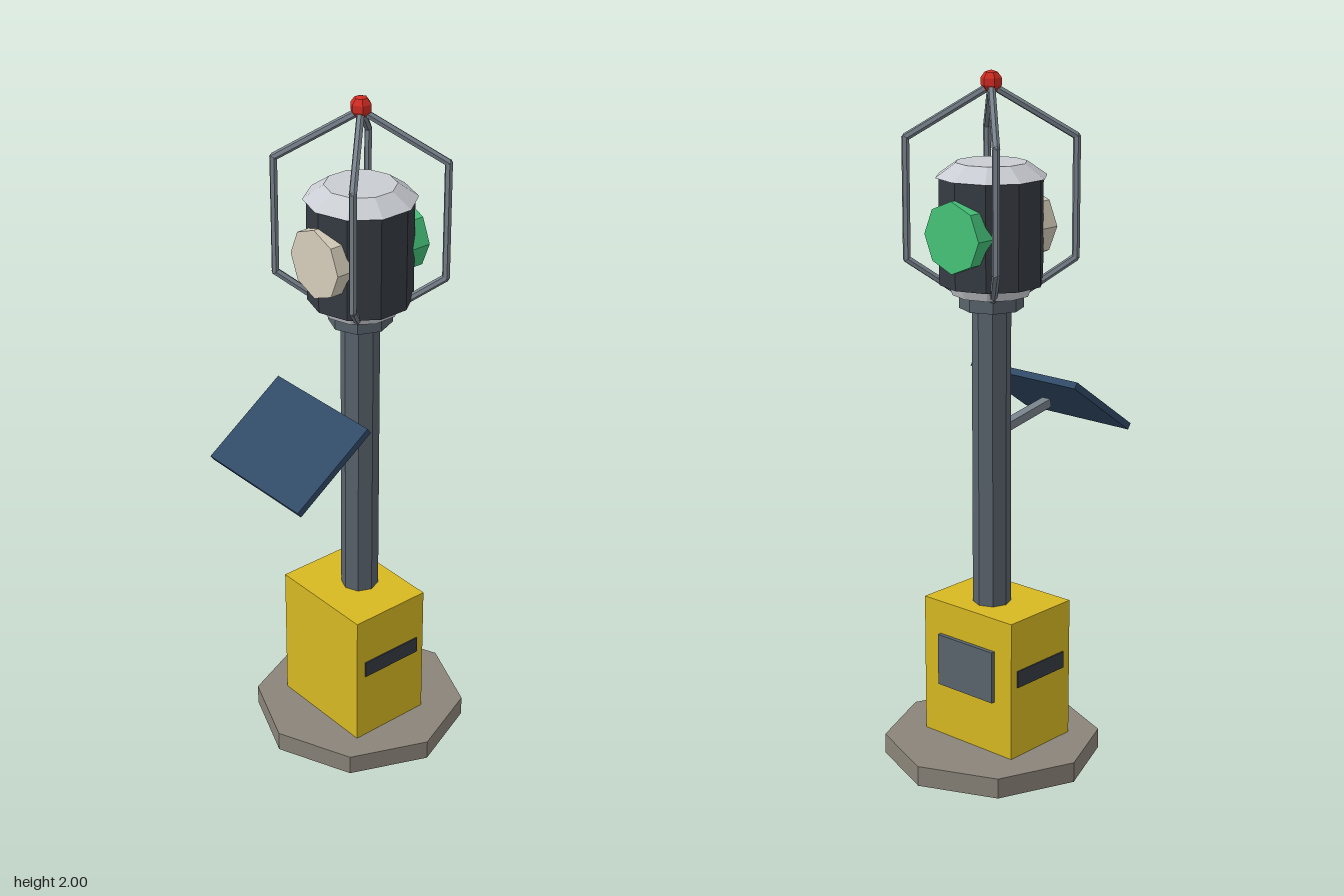
import * as THREE from 'three';

const AXIS_Z = -0.035; // z of the post axis

const mat = (name, color) => {
  const m = new THREE.MeshStandardMaterial({ color, flatShading: true });
  m.name = name;
  return m;
};

export function createModel() {
  const concrete = mat('concrete', 0x8a8479);
  const yellow = mat('yellow paint', 0xd8b922);
  const steel = mat('post steel', 0x59636c);
  const dark = mat('dark housing', 0x363c43);
  const bar = mat('guard steel', 0x77818b);
  const pale = mat('pale metal', 0xc9ccd2);
  const cream = mat('cream lens', 0xd6cebb);
  const green = mat('green lens', 0x46c47a);
  const red = mat('red beacon', 0xd22c22);
  const navy = mat('solar panel blue', 0x304a67);

  const model = new THREE.Group();
  model.name = 'signalPost';
  const add = (name, geometry, material, x, y, z) => {
    const mesh = new THREE.Mesh(geometry, material);
    mesh.name = name;
    mesh.position.set(x, y, z);
    model.add(mesh);
    return mesh;
  };
  // upright prism on the post axis, between two heights
  const prism = (name, rTop, rBottom, y0, y1, sides, material) =>
    add(name, new THREE.CylinderGeometry(rTop, rBottom, y1 - y0, sides), material, 0, (y0 + y1) / 2, AXIS_Z);
  // straight rod between two points
  const rod = (name, a, b, radius, sides, material) => {
    const dir = b.clone().sub(a);
    const mid = a.clone().add(b).multiplyScalar(0.5);
    const mesh = add(name, new THREE.CylinderGeometry(radius, radius, dir.length(), sides), material, mid.x, mid.y, mid.z);
    mesh.quaternion.setFromUnitVectors(new THREE.Vector3(0, 1, 0), dir.normalize());
    return mesh;
  };

  // base slab, cabinet and its details
  prism('baseSlab', 0.315, 0.315, 0, 0.06, 8, concrete);
  add('cabinet', new THREE.BoxGeometry(0.336, 0.415, 0.255), yellow, 0, 0.2675, -0.0125);
  for (const s of [-1, 1])
    add(s > 0 ? 'leftVent' : 'rightVent', new THREE.BoxGeometry(0.008, 0.05, 0.2), dark, s * 0.168, 0.3, -0.015);
  add('rearDoor', new THREE.BoxGeometry(0.21, 0.155, 0.016), steel, 0, 0.298, -0.145);

  // post and collar
  prism('post', 0.055, 0.055, 0.475, 1.36, 8, steel);
  prism('collar', 0.09, 0.09, 1.345, 1.39, 8, steel);

  // solar panel on its arm
  const panel = add('solarPanel', new THREE.BoxGeometry(0.394, 0.02, 0.3), navy, 0, 1.042, 0.221);
  panel.rotation.x = THREE.MathUtils.degToRad(35);
  const arm = add('panelArm', new THREE.BoxGeometry(0.03, 0.025, 0.22), bar, 0, 1.002, 0.097);
  arm.rotation.x = -0.18;

  // lantern
  prism('lanternFoot', 0.122, 0.11, 1.385, 1.416, 10, pale);
  prism('lanternBody', 0.147, 0.147, 1.415, 1.712, 10, dark);
  prism('lanternRoof', 0.1, 0.157, 1.712, 1.752, 10, pale);
  for (const [name, s, material] of [['frontLens', 1, cream], ['rearLens', -1, green]]) {
    const lens = add(name, new THREE.CylinderGeometry(0.1, 0.1, 0.1, 8), material, 0, 1.563, AXIS_Z + s * 0.112);
    lens.rotation.x = s * Math.PI / 2;
  }

  // guard cage: four bent bars on the diagonals
  const profile = [[0.06, 1.385], [0.165, 1.485], [0.165, 1.82], [0.005, 1.955]];
  for (const sx of [-1, 1]) for (const sz of [-1, 1]) {
    const pts = profile.map(([d, y]) => new THREE.Vector3(sx * d, y, AXIS_Z + sz * d));
    for (let i = 0; i < 3; i++) rod('guardBar', pts[i], pts[i + 1], 0.011, 6, bar);
    for (const p of [pts[1], pts[2]])
      add('guardJoint', new THREE.IcosahedronGeometry(0.0115, 0), bar, p.x, p.y, p.z);
  }

  // beacon ball
  const ball = add('beacon', new THREE.SphereGeometry(0.031, 6, 5), red, 0, 1.969, AXIS_Z);
  ball.rotation.y = Math.PI / 6;

  return model;
}
